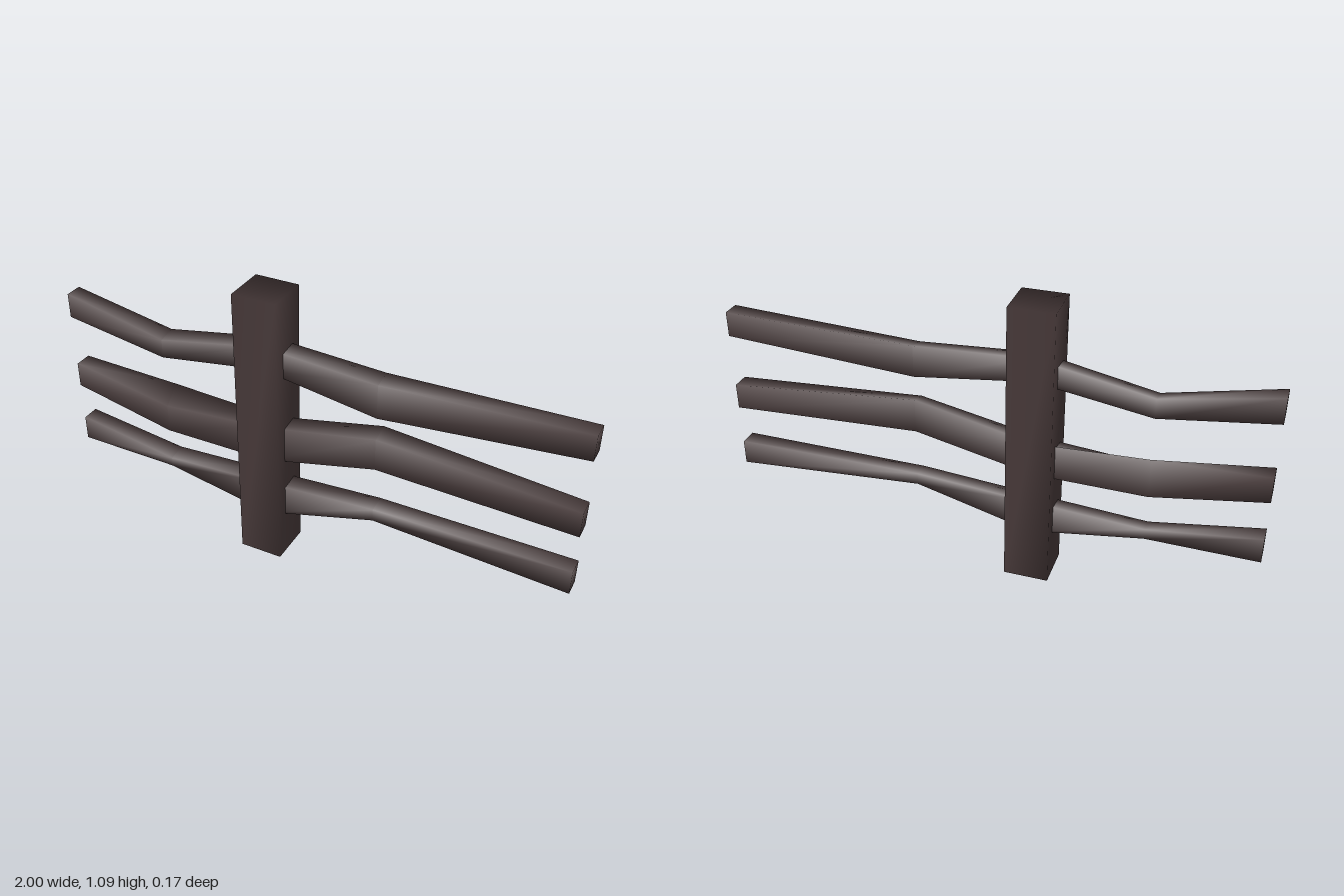
import * as THREE from 'three';
import { mergeVertices } from 'three/addons/utils/BufferGeometryUtils.js';

const HALF_DEPTH = 0.034;

// Lofts a four-sided beam along x; station = [x, topFront, topBack, bottomBack, bottomFront]
function beamGeometry(stations) {
  const positions = [], indices = [];
  const depths = [HALF_DEPTH, -HALF_DEPTH, -HALF_DEPTH, HALF_DEPTH];
  for (const [x, ...heights] of stations) {
    heights.forEach((y, k) => positions.push(x, y, depths[k]));
  }
  const last = (stations.length - 1) * 4;
  for (let i = 0; i < last; i += 4) {
    for (let k = 0; k < 4; k++) {
      const n = (k + 1) % 4;
      const a = i + k, b = i + 4 + k, c = i + 4 + n, d = i + n;
      indices.push(a, b, c, a, c, d);
    }
  }
  // End caps
  indices.push(0, 1, 2, 0, 2, 3);
  indices.push(last, last + 3, last + 2, last, last + 2, last + 1);
  const geometry = new THREE.BufferGeometry();
  geometry.setAttribute('position', new THREE.Float32BufferAttribute(positions, 3));
  geometry.setIndex(indices);
  geometry.computeVertexNormals();
  return geometry;
}

// Box whose corners share softened normals
function softBox(w, h, d) {
  let geometry = new THREE.BoxGeometry(w, h, d);
  geometry.deleteAttribute('normal');
  geometry.deleteAttribute('uv');
  geometry = mergeVertices(geometry);
  geometry.computeVertexNormals();
  return geometry;
}

export function createModel() {
  const group = new THREE.Group();
  const wood = new THREE.MeshStandardMaterial({ color: 0x483a3a });
  wood.name = 'darkWood';

  // Upright post
  const post = new THREE.Mesh(softBox(0.167, 1.087, 0.167), wood);
  post.name = 'post';
  post.position.set(-0.17, 0.5435, 0);
  group.add(post);

  // Crooked rails, each one passing through the post
  const rails = {
    topRail: [
      [-1, 0.885, 0.885, 0.79, 0.79],
      [-0.59, 0.797, 0.81, 0.735, 0.725],
      [-0.17, 0.88, 0.888, 0.8, 0.79],
      [0.27, 0.852, 0.866, 0.745, 0.722],
      [1, 0.885, 0.885, 0.79, 0.79],
    ],
    middleRail: [
      [-1, 0.584, 0.584, 0.486, 0.486],
      [-0.59, 0.51, 0.573, 0.42, 0.4],
      [-0.17, 0.545, 0.555, 0.425, 0.402],
      [0.27, 0.632, 0.65, 0.52, 0.508],
      [1, 0.584, 0.584, 0.486, 0.486],
    ],
    bottomRail: [
      [-1, 0.333, 0.333, 0.236, 0.236],
      [-0.59, 0.268, 0.28, 0.24, 0.232],
      [-0.17, 0.295, 0.305, 0.175, 0.155],
      [0.27, 0.328, 0.335, 0.29, 0.28],
      [1, 0.333, 0.333, 0.238, 0.238],
    ],
  };
  for (const [name, stations] of Object.entries(rails)) {
    const rail = new THREE.Mesh(beamGeometry(stations), wood);
    rail.name = name;
    group.add(rail);
  }
  return group;
}
